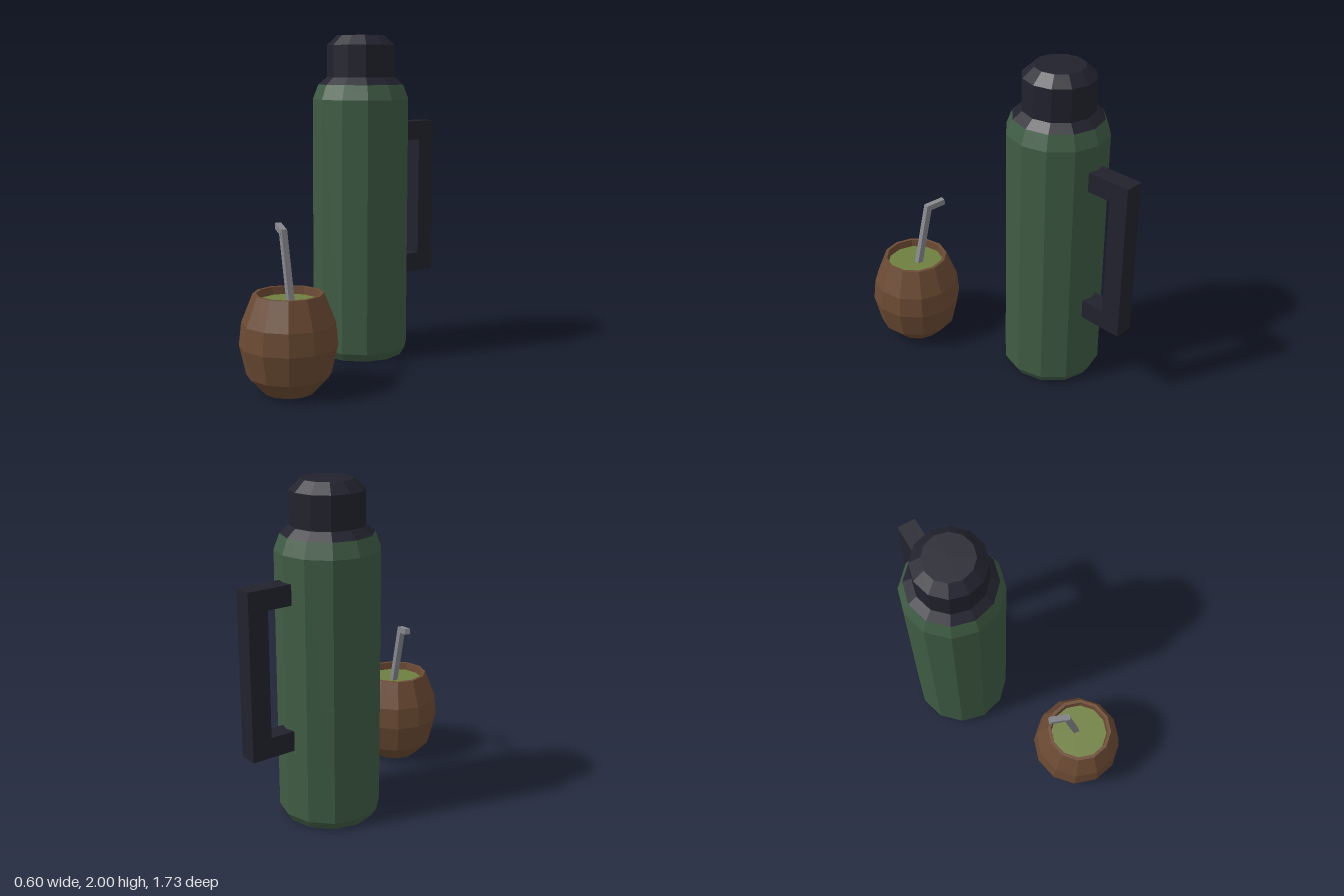
import * as THREE from 'three';

const SIDES = 12;

function material(name, color) {
  const m = new THREE.MeshStandardMaterial({ color, flatShading: true });
  m.name = name;
  return m;
}

function addMesh(parent, name, geometry, mat) {
  const mesh = new THREE.Mesh(geometry, mat);
  mesh.name = name;
  parent.add(mesh);
  return mesh;
}

// Faceted turned part from [radius, height] pairs, listed bottom to top
function turned(profile) {
  return new THREE.LatheGeometry(profile.map(([r, y]) => new THREE.Vector2(r, y)), SIDES);
}

// Square bar running from a to b
function bar(parent, name, a, b, width, mat) {
  const mesh = addMesh(parent, name, new THREE.BoxGeometry(width, width, a.distanceTo(b)), mat);
  mesh.position.copy(a).add(b).multiplyScalar(0.5);
  mesh.lookAt(b);
  return mesh;
}

export function createModel() {
  const green = material('bottle green', 0x3f5c44);
  const dark = material('dark plastic', 0x22222e);
  const brown = material('gourd brown', 0x6b4a33);
  const leaf = material('leaf green', 0x6f8040);
  const metal = material('straw metal', 0x86878d);

  const model = new THREE.Group();
  model.name = 'flaskAndGourd';

  // Flask, turned so its handle points back and to the left
  const flask = new THREE.Group();
  flask.name = 'flask';
  flask.position.set(0, 0, -0.336);
  flask.rotation.y = 1.12;
  model.add(flask);

  addMesh(flask, 'flaskBody', turned([
    [0, 0], [0.27, 0], [0.3, 0.05], [0.3, 1.61], [0.266, 1.7], [0, 1.7],
  ]), green);
  addMesh(flask, 'collar', turned([[0.266, 1.7], [0.213, 1.745]]), dark);
  addMesh(flask, 'cap', turned([
    [0.213, 1.745], [0.213, 1.94], [0.148, 2], [0, 2],
  ]), dark);

  // Handle: one flat bracket extruded across its width
  const bracket = new THREE.Shape([
    [0.24, 0.476], [0.558, 0.476], [0.558, 1.46], [0.24, 1.46],
    [0.24, 1.34], [0.436, 1.34], [0.436, 0.596], [0.24, 0.596],
  ].map(([x, y]) => new THREE.Vector2(x, y)));
  const handleGeometry = new THREE.ExtrudeGeometry(bracket, { depth: 0.115, bevelEnabled: false });
  handleGeometry.translate(0, 0, -0.0575);
  addMesh(flask, 'handle', handleGeometry, dark);

  // Gourd cup with a hollow rim
  const gourd = new THREE.Group();
  gourd.name = 'gourd';
  gourd.position.set(0, 0, 0.583);
  model.add(gourd);

  addMesh(gourd, 'gourdCup', turned([
    [0, 0], [0.145, 0], [0.24, 0.1], [0.279, 0.27], [0.265, 0.4],
    [0.2, 0.565], [0.18, 0.565], [0.172, 0.5],
  ]), brown);
  const fill = addMesh(gourd, 'leafFill', new THREE.CircleGeometry(0.175, SIDES), leaf);
  fill.rotation.x = -Math.PI / 2;
  fill.position.y = 0.52;

  // Bent straw
  const base = new THREE.Vector3(0.012, 0.45, -0.015);
  const bend = new THREE.Vector3(-0.075, 0.905, -0.073);
  const elbow = new THREE.Vector3(-0.063, 0.89, -0.063);
  const tip = new THREE.Vector3(-0.15, 0.912, -0.147);
  const straw = new THREE.Group();
  straw.name = 'straw';
  gourd.add(straw);
  // Bars are aimed in local space, before the straw takes its place
  straw.removeFromParent();
  bar(straw, 'strawStem', base, bend, 0.036, metal);
  bar(straw, 'strawMouthpiece', elbow, tip, 0.036, metal);
  gourd.add(straw);

  return model;
}
